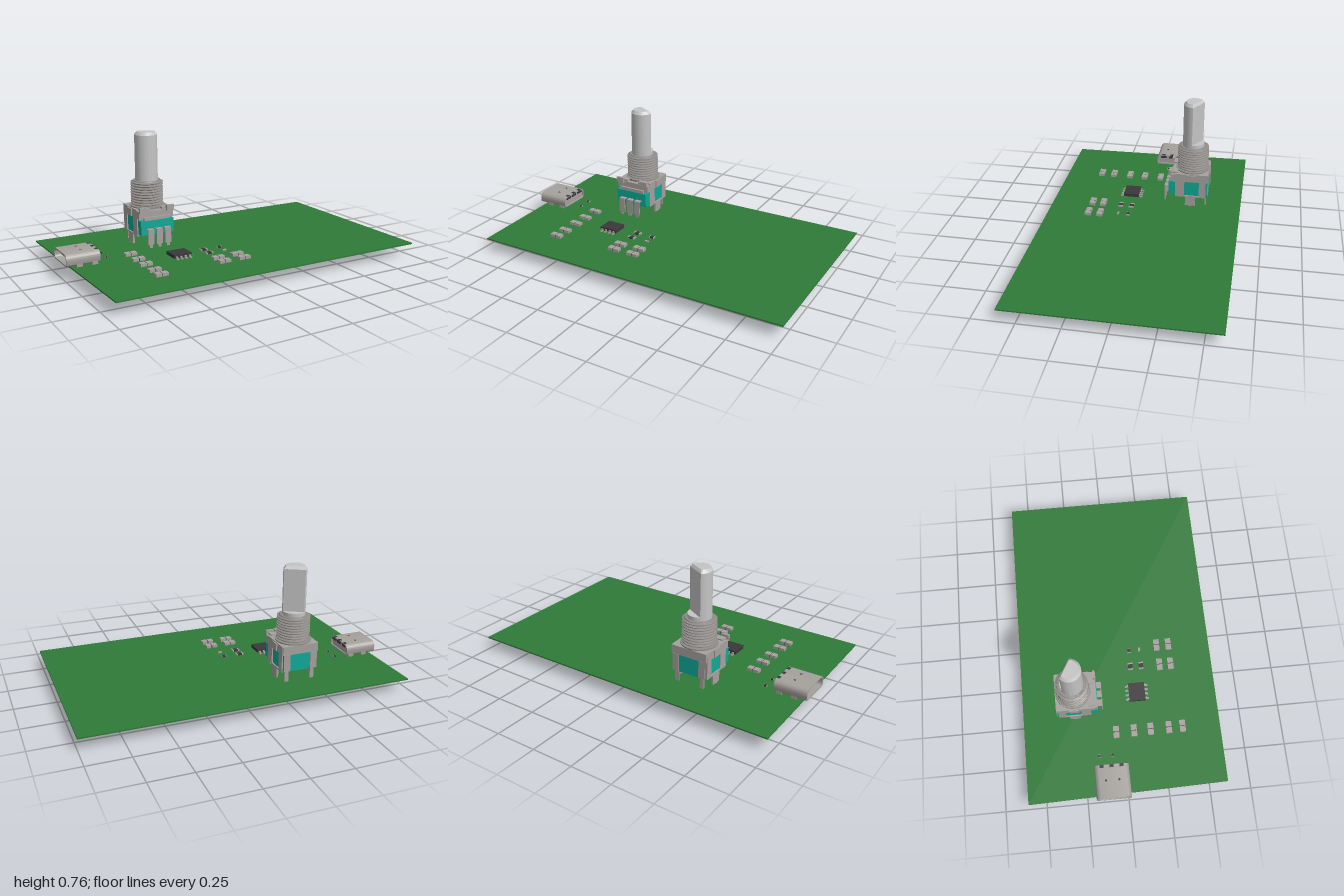
import * as THREE from 'three';
import { toCreasedNormals } from 'three/addons/utils/BufferGeometryUtils.js';

const mat = (name, color, side = THREE.FrontSide) =>
  Object.assign(new THREE.MeshStandardMaterial({ color, side }), { name });

export function createModel() {
  const green = mat('board green', 0x2f7a38);
  const metal = mat('stamped metal', 0xa5a19d);
  const steel = mat('shaft steel', 0xc4c4c4);
  const thread = mat('thread metal', 0x8f8c89);
  const teal = mat('teal plastic', 0x0fa896);
  const dark = mat('black plastic', 0x3a383b);

  const root = new THREE.Group();
  root.name = 'circuitBoardAssembly';
  const group = (name, x = 0, y = 0, z = 0) => {
    const g = new THREE.Group();
    g.name = name;
    g.position.set(x, y, z);
    root.add(g);
    return g;
  };
  const add = (parent, name, geo, m) => {
    const mesh = new THREE.Mesh(geo, m);
    mesh.name = name;
    parent.add(mesh);
    return mesh;
  };
  // Box given by its limits along each axis
  const box = (parent, name, m, x0, x1, y0, y1, z0, z1) => {
    const mesh = add(parent, name, new THREE.BoxGeometry(x1 - x0, y1 - y0, z1 - z0), m);
    mesh.position.set((x0 + x1) / 2, (y0 + y1) / 2, (z0 + z1) / 2);
    return mesh;
  };
  const polygon = pts => new THREE.Shape(pts.map(p => new THREE.Vector2(...p)));
  const top = 0.082;

  // Board with a slightly slanted end and drilled holes
  const outline = polygon([[-0.955, -0.605], [1, -0.605], [1, 0.605], [-0.983, 0.605]]);
  for (const [x, z] of [[0.19, -0.53], [0.19, -0.475], [0.363, -0.53], [0.363, -0.475], [0.757, 0.3], [0.835, 0.3]]) {
    const hole = new THREE.Path();
    hole.absarc(x, -z, 0.01, 0, Math.PI * 2, true);
    outline.holes.push(hole);
  }
  const boardGeo = new THREE.ExtrudeGeometry(outline, { depth: 0.008, bevelEnabled: false, curveSegments: 10 });
  boardGeo.rotateX(-Math.PI / 2);
  add(root, 'board', boardGeo, green).position.y = top - 0.008;

  // Rotary encoder: shaft axis at the group's origin
  const enc = group('rotaryEncoder', -0.37, 0, -0.282);
  box(enc, 'encoderBody', teal, -0.107, 0.107, 0.148, 0.255, -0.106, 0.098);
  box(enc, 'frontTerminalBlock', teal, -0.108, 0.108, 0.155, 0.243, 0.098, 0.144);
  box(enc, 'topPlate', metal, -0.113, 0.113, 0.253, 0.305, -0.108, 0.1);
  box(enc, 'frontLip', metal, -0.113, 0.113, 0.25, 0.298, 0.1, 0.127);
  box(enc, 'frontLedge', metal, -0.085, 0.085, 0.243, 0.262, 0.127, 0.14);

  for (const s of [-1, 1]) {
    const side = (name, m, x0, x1, ...rest) =>
      box(enc, name, m, Math.min(s * x0, s * x1), Math.max(s * x0, s * x1), ...rest);
    // Side frame around the teal window
    side('sideFrameFront', metal, 0.1, 0.115, 0.143, 0.305, 0.042, 0.1);
    side('sideFrameBack', metal, 0.1, 0.115, 0.143, 0.305, -0.096, -0.053);
    side('sideFrameTop', metal, 0.1, 0.115, 0.253, 0.305, -0.053, 0.042);
    side('sideFrameBottom', metal, 0.1, 0.115, 0.143, 0.152, -0.053, 0.042);
    side('shoulderTab', metal, 0.1, 0.122, 0.255, 0.3, -0.03, 0.03);
    side('mountingTab', metal, 0.104, 0.115, 0.08, 0.145, -0.032, 0.034);
    side('backFoot', metal, 0.07, 0.095, 0.08, 0.15, -0.1, -0.092);
    side('backClip', metal, 0.065, 0.107, 0.15, 0.255, -0.11, -0.104);
    side('frontCatch', metal, 0.065, 0.113, 0.29, 0.325, 0.127, 0.143);
    side('frontRib', metal, 0.04, 0.1, 0.3, 0.312, 0.085, 0.127);
    // Kinked snap-in leg
    const leg = polygon([[0.106, 0.085], [0.131, 0.042], [0.116, 0.006], [0.122, 0.002],
      [0.14, 0.042], [0.115, 0.085]].map(([x, y]) => [s * x, y]));
    add(enc, 'snapLeg', new THREE.ExtrudeGeometry(leg, { depth: 0.022, bevelEnabled: false }), metal)
      .position.z = -0.011;
  }

  // Three bent terminals on the front
  for (const x of [-0.056, 0, 0.056]) {
    box(enc, 'terminalTop', metal, x - 0.02, x + 0.02, 0.188, 0.195, 0.14, 0.174);
    box(enc, 'terminalBlade', metal, x - 0.02, x + 0.02, 0.1, 0.19, 0.167, 0.174);
    box(enc, 'terminalPin', metal, x - 0.01, x + 0.01, 0, 0.1, 0.167, 0.174);
  }

  // Threaded bushing
  const profile = [new THREE.Vector2(0.107, 0.3), new THREE.Vector2(0.107, 0.312), new THREE.Vector2(0.086, 0.314)];
  const turns = 9, pitch = 0.0163;
  for (let i = 0; i < turns; i++) {
    const y = 0.316 + i * pitch;
    profile.push(new THREE.Vector2(0.086, y), new THREE.Vector2(0.099, y + 0.005),
      new THREE.Vector2(0.099, y + 0.009), new THREE.Vector2(0.086, y + 0.014));
  }
  profile.push(new THREE.Vector2(0.084, 0.465), new THREE.Vector2(0.001, 0.465));
  add(enc, 'threadedBushing', toCreasedNormals(new THREE.LatheGeometry(profile, 40), 0.5), thread);

  // Shaft with a chamfered top and a flat turned 30 degrees from the back
  add(enc, 'shaftBase', new THREE.CylinderGeometry(0.069, 0.069, 0.03, 40), steel).position.y = 0.473;
  const a = Math.PI / 3, half = Math.acos(0.03 / 0.069);
  const dShape = new THREE.Shape();
  dShape.absarc(0, 0, 0.069, a + half, a - half + Math.PI * 2, false);
  dShape.closePath();
  const shaftGeo = new THREE.ExtrudeGeometry(dShape, {
    depth: 0.294, curveSegments: 36, bevelSize: 0.014, bevelOffset: -0.014, bevelThickness: 0.018, bevelSegments: 1,
  });
  shaftGeo.rotateX(-Math.PI / 2);
  add(enc, 'shaft', toCreasedNormals(shaftGeo, 0.5), steel).position.y = 0.45;

  // Socket: hollow rounded shell open to the board's end
  const usb = group('cableSocket', -0.9, 0, -0.09);
  const rounded = (Type, w, y0, y1, rTop, rLow) => {
    const p = new Type();
    p.absarc(w - rTop, y1 - rTop, rTop, 0, Math.PI / 2);
    p.absarc(-w + rTop, y1 - rTop, rTop, Math.PI / 2, Math.PI);
    p.absarc(-w + rLow, y0 + rLow, rLow, Math.PI, Math.PI * 1.5);
    p.absarc(w - rLow, y0 + rLow, rLow, Math.PI * 1.5, Math.PI * 2);
    p.closePath();
    return p;
  };
  const shell = rounded(THREE.Shape, 0.105, 0.09, 0.16, 0.032, 0.018);
  shell.holes.push(rounded(THREE.Path, 0.096, 0.098, 0.152, 0.026, 0.014));
  const shellGeo = new THREE.ExtrudeGeometry(shell, { depth: 0.2, bevelEnabled: false, curveSegments: 8 });
  shellGeo.rotateY(Math.PI / 2);
  add(usb, 'socketShell', toCreasedNormals(shellGeo, 0.5), metal).position.x = -0.1;
  box(usb, 'socketBack', metal, 0.06, 0.092, 0.092, 0.15, -0.095, 0.095);
  box(usb, 'socketTongue', dark, -0.07, 0.06, 0.118, 0.132, -0.065, 0.065);
  for (const z of [-0.06, 0, 0.06]) {
    box(usb, 'rearSlot', dark, 0.092, 0.101, 0.138, 0.153, z - 0.02, z + 0.02);
    box(usb, 'topSlot', dark, 0.082, 0.1, 0.155, 0.161, z - 0.012, z + 0.012);
  }
  for (const z of [-0.04, 0.04]) box(usb, 'springSlot', dark, 0.0, 0.012, 0.156, 0.161, z - 0.005, z + 0.005);
  for (const s of [-1, 1]) for (const x of [-0.023, 0.068])
    box(usb, 'socketFoot', metal, x - 0.017, x + 0.017, 0.06, 0.115, s * 0.1 - 0.004, s * 0.1 + 0.004);
  for (let i = 0; i < 8; i++) {
    const z = -0.063 + i * 0.018;
    box(usb, 'socketPin', metal, 0.075, 0.083, 0.064, 0.1, z - 0.003, z + 0.003);
  }

  // Chip with gull-wing leads
  const chip = group('chip', -0.354, 0, 0.113);
  box(chip, 'chipBody', dark, -0.057, 0.057, 0.087, 0.107, -0.05, 0.05);
  for (const s of [-1, 1]) for (let i = 0; i < 4; i++) {
    const x = -0.042 + i * 0.028;
    box(chip, 'leadShoulder', metal, x - 0.006, x + 0.006, 0.083, 0.098, s * 0.054 - 0.005, s * 0.054 + 0.005);
    box(chip, 'leadFoot', metal, x - 0.006, x + 0.006, 0.082, 0.087, s * 0.064 - 0.007, s * 0.064 + 0.007);
  }

  // Two-terminal surface parts: metal ends around a middle section
  const passive = (name, x, z, w, d, h, gap, midMat) => {
    const g = group(name, x, top, z);
    box(g, 'middle', midMat, -gap, gap, 0, h * 0.92, -d / 2 + 0.001, d / 2 - 0.001);
    for (const s of [-1, 1])
      box(g, 'endCap', metal, s > 0 ? gap : -w / 2, s > 0 ? w / 2 : -gap, 0, h, -d / 2, d / 2);
  };
  for (const z of [-0.04, 0.07, 0.173, 0.286, 0.371]) passive('largeCapacitor', -0.595, z, 0.073, 0.036, 0.018, 0.002, dark);
  for (const [x, z] of [[-0.187, 0.275], [-0.187, 0.345], [-0.057, 0.27], [-0.057, 0.345]])
    passive('largeCapacitor', x, z, 0.073, 0.036, 0.018, 0.002, dark);
  for (const z of [0.09, 0.158]) passive('resistor', -0.182, z, 0.046, 0.03, 0.01, 0.014, dark);
  passive('smallResistor', -0.075, 0.092, 0.032, 0.022, 0.01, 0.012, dark);
  passive('smallCapacitor', -0.075, 0.157, 0.024, 0.012, 0.008, 0.003, metal);
  for (const z of [-0.157, -0.074]) passive('smallResistor', -0.733, z, 0.018, 0.016, 0.01, 0.007, dark);

  return root;
}
